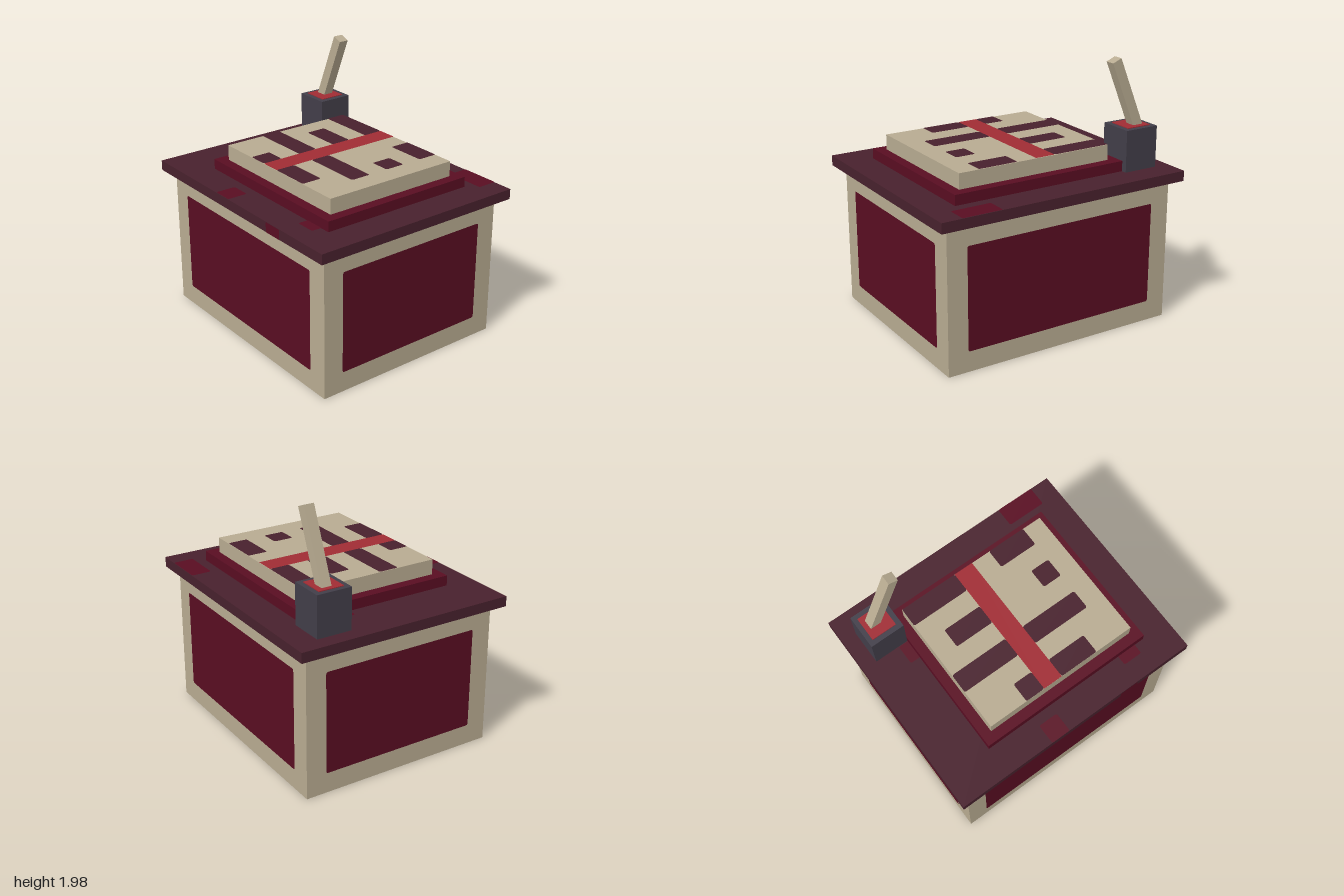
import * as THREE from 'three';

const material = (name, color) => {
  const m = new THREE.MeshStandardMaterial({ color });
  m.name = name;
  return m;
};

export function createModel() {
  const group = new THREE.Group();
  const tan = material('tan', 0xb8ab91);
  const plum = material('dark plum', 0x48212d);
  const maroon = material('maroon', 0x590d22);
  const red = material('red', 0xa02c34);
  const slate = material('slate', 0x423e49);
  const LIFT = 0.003;

  // Box given by its minimum and maximum corners
  const box = (name, mat, [x0, y0, z0], [x1, y1, z1]) => {
    const mesh = new THREE.Mesh(new THREE.BoxGeometry(x1 - x0, y1 - y0, z1 - z0), mat);
    mesh.position.set((x0 + x1) / 2, (y0 + y1) / 2, (z0 + z1) / 2);
    mesh.name = name;
    group.add(mesh);
    return mesh;
  };

  // Flat plate with slightly rounded corners, facing +z before it is turned
  const plate = (name, mat, w, h, r = 0.015) => {
    const s = new THREE.Shape();
    const x = w / 2, y = h / 2;
    s.moveTo(-x + r, -y);
    s.lineTo(x - r, -y);
    s.quadraticCurveTo(x, -y, x, -y + r);
    s.lineTo(x, y - r);
    s.quadraticCurveTo(x, y, x - r, y);
    s.lineTo(-x + r, y);
    s.quadraticCurveTo(-x, y, -x, y - r);
    s.lineTo(-x, -y + r);
    s.quadraticCurveTo(-x, -y, -x + r, -y);
    const mesh = new THREE.Mesh(new THREE.ShapeGeometry(s, 3), mat);
    mesh.name = name;
    group.add(mesh);
    return mesh;
  };

  // Plate lying face up at height y
  const topPlate = (name, mat, y, [x0, x1, z0, z1], r) => {
    const p = plate(name, mat, x1 - x0, z1 - z0, r);
    p.rotation.x = -Math.PI / 2;
    p.position.set((x0 + x1) / 2, y + LIFT, (z0 + z1) / 2);
  };

  // Cabinet with inset-coloured panels on four sides and underneath
  box('cabinet', tan, [-0.923, 0, -0.769], [0.923, 1.077, 0.769]);
  for (let i = 0; i < 4; i++) {
    const side = i % 2 === 1;
    const a = i * Math.PI / 2;
    const d = (side ? 0.923 : 0.769) + LIFT;
    const p = plate('cabinetPanel', maroon, side ? 1.23 : 1.538, 0.769);
    p.rotation.y = a;
    p.position.set(Math.sin(a) * d, 0.5385, Math.cos(a) * d);
  }
  const under = plate('bottomPanel', maroon, 1.538, 1.23);
  under.rotation.x = Math.PI / 2;
  under.position.y = 0.001;

  // Table top with worn patches
  box('tableTop', plum, [-1, 1.077, -0.846], [1, 1.154, 0.846]);
  [
    [0.54, 0.846, -0.846, -0.692],
    [-0.231, -0.077, 0.692, 0.846],
    [0.54, 0.692, 0.6, 0.692],
    [-0.692, -0.6, -0.385, -0.231],
  ].forEach((r) => topPlate('topPatch', maroon, 1.154, r));
  plate('edgePatch', maroon, 0.154, 0.075, 0.008).position.set(0.4615, 1.1155, 0.846 + LIFT);

  // Book: cover, page block, text lines and ribbon
  box('bookCover', maroon, [-0.615, 1.154, -0.615], [0.769, 1.231, 0.615]);
  box('bookPages', tan, [-0.538, 1.231, -0.538], [0.692, 1.346, 0.538]);
  [
    [-0.538, -0.077, -0.538, -0.385], [0.231, 0.538, -0.538, -0.385],
    [-0.385, -0.077, -0.231, -0.077], [0.385, 0.538, -0.231, -0.077],
    [-0.538, -0.077, 0.077, 0.231], [0.077, 0.538, 0.077, 0.231],
    [-0.231, -0.077, 0.385, 0.538], [0.077, 0.385, 0.385, 0.538],
  ].forEach((r) => topPlate('textLine', plum, 1.346, r));
  topPlate('ribbon', red, 1.346, [-0.077, 0.077, -0.538, 0.538], 0.001);

  // Ink pot and leaning pen
  box('inkPot', slate, [-0.885, 1.154, -0.658], [-0.615, 1.465, -0.39]);
  box('ink', red, [-0.85, 1.46, -0.62], [-0.654, 1.471, -0.428]);
  const tilt = Math.PI / 8;
  const length = 0.58;
  const pen = new THREE.Mesh(new THREE.BoxGeometry(0.077, length, 0.077), tan);
  pen.name = 'pen';
  pen.rotation.z = -tilt;
  pen.position.set(
    -0.569 - Math.sin(tilt) * length / 2,
    1.962 - Math.cos(tilt) * length / 2,
    -0.54,
  );
  group.add(pen);

  return group;
}
